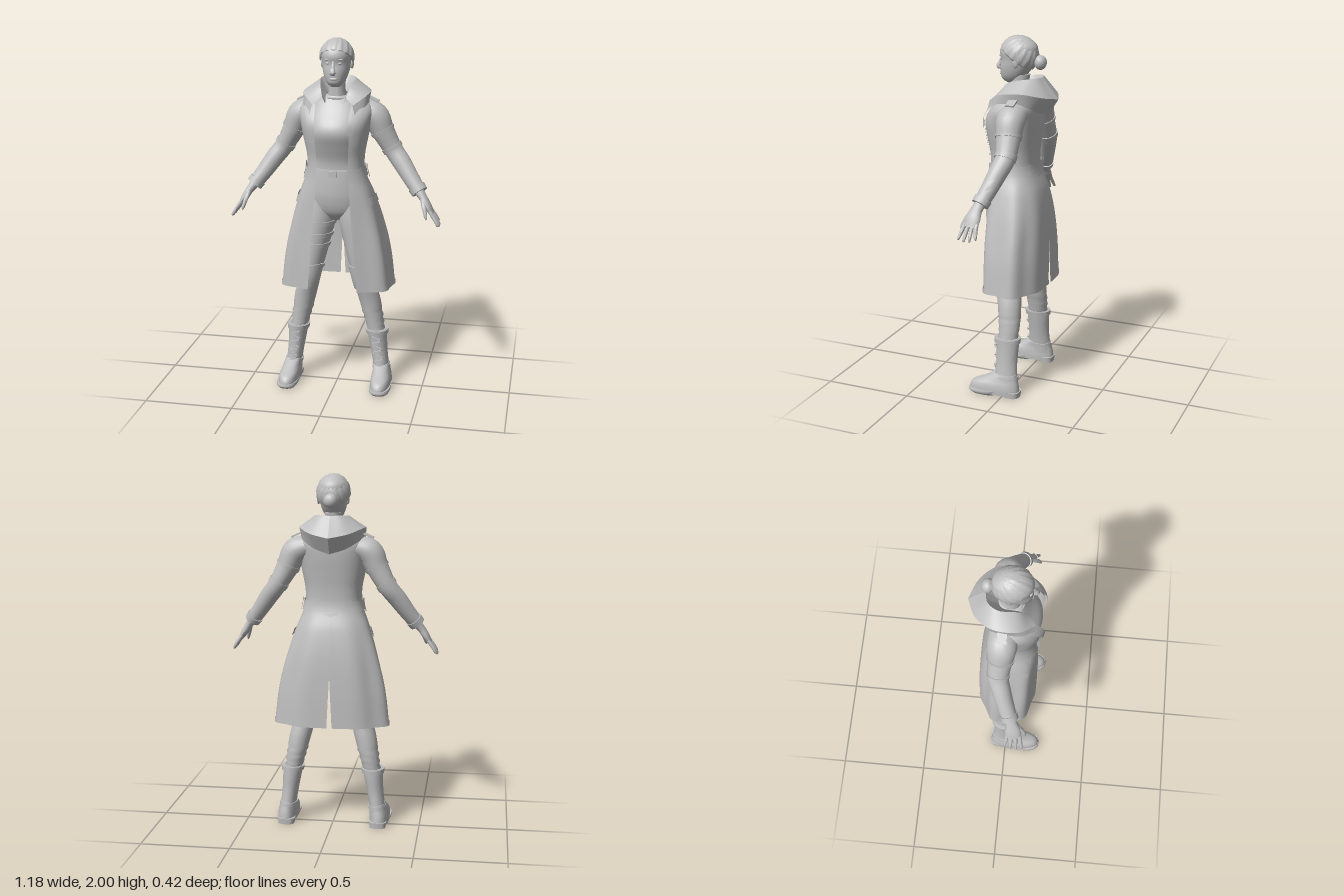
import * as THREE from 'three';
import { mergeVertices, toCreasedNormals } from 'three/addons/utils/BufferGeometryUtils.js';

const V = (x, y, z) => new THREE.Vector3(x, y, z);
const grey = new THREE.MeshStandardMaterial({ color: 0xbfbfbf, side: THREE.DoubleSide });
grey.name = 'plain grey';

// Grid surface from f(u, v)
function surface(nu, nv, f, crease = 0.8) {
  const pos = [], idx = [];
  for (let j = 0; j <= nv; j++) for (let i = 0; i <= nu; i++) pos.push(...f(i / nu, j / nv).toArray());
  for (let j = 0; j < nv; j++) for (let i = 0; i < nu; i++) {
    const a = j * (nu + 1) + i, b = a + nu + 1;
    idx.push(a, a + 1, b + 1, a, b + 1, b);
  }
  const g = new THREE.BufferGeometry();
  g.setAttribute('position', new THREE.Float32BufferAttribute(pos, 3));
  g.setIndex(idx);
  return toCreasedNormals(mergeVertices(g, 1e-5), crease);
}

// Smooth lookup in rows of [y, rx, zFront, zBack, cx]
function rowAt(rows, y) {
  let i = 0;
  while (i < rows.length - 2 && y > rows[i + 1][0]) i++;
  const h = rows[i + 1][0] - rows[i][0], t = (y - rows[i][0]) / h;
  const slope = (k, c) => {
    const a = rows[Math.max(k - 1, 0)], b = rows[Math.min(k + 1, rows.length - 1)];
    return ((b[c] || 0) - (a[c] || 0)) / (b[0] - a[0]);
  };
  return [0, 1, 2, 3, 4].map(c => {
    const p = rows[i][c] || 0, q = rows[i + 1][c] || 0, d = t * t * (3 - 2 * t);
    return p + (q - p) * d + h * (slope(i, c) * t * (1 - t) ** 2 - slope(i + 1, c) * t * t * (1 - t));
  });
}
const pw = (s, p) => Math.sign(s) * Math.abs(s) ** p;
function ringPoint(rows, y, a, p = 1, off = 0) {
  const [, rx, zf, zb, cx] = rowAt(rows, y);
  return V(cx + (rx + off) * pw(Math.sin(a), p), y, (zf + zb) / 2 + ((zf - zb) / 2 + off) * pw(Math.cos(a), p));
}
// Upright lofted body, or a band or panel on it
function loft(rows, o = {}) {
  const { y0 = rows[0][0], y1 = rows[rows.length - 1][0], p = 1, off = () => 0, nu = 32, nv = 24,
    a0 = () => 0, a1 = () => Math.PI * 2, cap = true } = o;
  return surface(nu, nv + (cap ? 2 : 0), (u, v) => {
    const k = cap ? THREE.MathUtils.clamp((v * (nv + 2) - 1) / nv, 0, 1) : v;
    const y = y0 + (y1 - y0) * k, a = a0(y) + (a1(y) - a0(y)) * u;
    if (cap && (v === 0 || v === 1)) {
      const r = rowAt(rows, y);
      return V(r[4], y, (r[2] + r[3]) / 2);
    }
    return ringPoint(rows, y, a, p, off(a, y));
  });
}
// Tapered limb through [x, y, z, rSide, rDepth]
function limb(pts, t0 = 0, t1 = 1, off = 0, nu = 16, nv = 20) {
  const path = new THREE.CatmullRomCurve3(pts.map(p => V(p[0], p[1], p[2])));
  const size = new THREE.CatmullRomCurve3(pts.map(p => V(p[3], p[4], 0)));
  return surface(nu, nv + 2, (u, v) => {
    const t = t0 + (t1 - t0) * THREE.MathUtils.clamp((v * (nv + 2) - 1) / nv, 0, 1);
    const c = path.getPoint(t), r = size.getPoint(t), k = v === 0 || v === 1 ? 0 : 1;
    const side = path.getTangent(t).cross(V(0, 0, 1)).normalize();
    const depth = side.clone().cross(path.getTangent(t));
    const a = u * Math.PI * 2;
    return c.addScaledVector(side, k * (r.x + off) * Math.cos(a)).addScaledVector(depth, -k * (r.y + off) * Math.sin(a));
  });
}
function mirrored(geo) {
  const g = (geo.index ? geo.toNonIndexed() : geo.clone()).scale(-1, 1, 1);
  const idx = [];
  for (let i = 0; i < g.attributes.position.count; i += 3) idx.push(i, i + 2, i + 1);
  return g.setIndex(idx);
}
const ball = (x, y, z, rx, ry, rz) => new THREE.SphereGeometry(1, 16, 12).scale(rx, ry, rz).translate(x, y, z);
const box = (x, y, z, w, h, d, rz = 0, ry = 0) => new THREE.BoxGeometry(w, h, d).rotateZ(rz).rotateY(ry).translate(x, y, z);

export function createModel() {
  const model = new THREE.Group();
  const add = (name, g) => { const m = new THREE.Mesh(g, grey); m.name = name; model.add(m); };
  const pair = (name, g) => { add('left' + name, g); add('right' + name, mirrored(g)); };

  // Head and face
  add('head', loft([[1.742, .025, .085, .02], [1.76, .043, .113, 0], [1.79, .06, .12, -.03], [1.83, .072, .122, -.06],
    [1.87, .078, .117, -.08], [1.91, .082, .124, -.088], [1.95, .075, .108, -.08], [1.985, .045, .07, -.04]], { p: .92 }));
  add('nose', limb([[0, 1.885, .113, .007, .008], [0, 1.85, .127, .01, .011], [0, 1.825, .137, .016, .013], [0, 1.815, .122, .011, .007]]));
  add('lips', ball(0, 1.79, .118, .023, .008, .008));
  pair('Eye', ball(.031, 1.873, .107, .014, .007, .007));
  pair('Brow', ball(.033, 1.893, .109, .02, .005, .009));
  pair('Ear', ball(.081, 1.862, .005, .01, .03, .018));
  add('neck', loft([[1.6, .07, .06, -.075], [1.68, .052, .062, -.05], [1.73, .046, .062, -.038], [1.79, .048, .065, -.045]]));

  // Combed-back hair with strand ridges, and a bun
  const tilt = .65;
  add('hair', surface(96, 18, (u, v) => {
    const th = v * 1.78, a = u * Math.PI * 2;
    const d = V(Math.sin(th) * Math.sin(a), Math.cos(th), Math.sin(th) * Math.cos(a)).applyAxisAngle(V(1, 0, 0), -tilt);
    const k = 1 + .018 * Math.sin(th) * Math.cos(a * 16) - (v === 1 ? .09 : 0);
    return V(d.x * .094 * k, 1.893 + d.y * .106 * k, .018 + d.z * .11 * k);
  }));
  add('bun', ball(0, 1.858, -.107, .038, .04, .034));

  // Top and trousers seat
  add('top', loft([[1.24, .145, .11, -.08], [1.33, .135, .115, -.075], [1.42, .145, .148, -.08], [1.49, .15, .174, -.085],
    [1.54, .15, .165, -.09], [1.61, .15, .115, -.09], [1.66, .12, .085, -.08], [1.69, .06, .07, -.06]], { p: .9 }));
  add('neckBand', new THREE.TorusGeometry(.066, .006, 8, 32).rotateX(1.45).translate(0, 1.672, .012));
  const hips = [[.99, .06, .06, -.08], [1.04, .15, .1, -.11], [1.12, .168, .122, -.12], [1.2, .158, .125, -.11], [1.29, .142, .12, -.085]];
  add('hips', loft(hips, { p: .9 }));
  add('trouserBelt', loft(hips, { y0: 1.25, y1: 1.285, off: () => .007, p: .9, nv: 2 }));
  add('buckle', box(0, 1.268, .131, .045, .032, .009));

  // Legs
  const leg = [[.32, .048, .045, -.062, .228], [.4, .054, .05, -.07, .212], [.52, .062, .066, -.068, .187], [.63, .061, .09, -.055, .158],
    [.7, .066, .098, -.06, .146], [.85, .081, .105, -.085, .122], [1.0, .093, .108, -.105, .1], [1.12, .08, .1, -.1, .088]];
  pair('Leg', loft(leg, { nv: 40, off: (a, y) => y < .45 ? .004 * Math.sin(y * 150 + Math.sin(a)) : 0 }));
  pair('KneePatch', loft(leg, { y0: .59, y1: .73, a0: () => -1.1, a1: () => 1.1, off: () => .008, nv: 8 }));
  [.7, .83, .89, .96].forEach((y, i) =>
    add('rightThighStrap' + (i + 1), mirrored(loft(leg, { y0: y, y1: y + .022, off: () => .007, nv: 2 }))));
  add('thighPouch', box(-.2, .92, .03, .022, .1, .07, -.12));

  // Boots
  const shaft = [[.06, .048, .06, -.08, .263], [.12, .045, .058, -.074, .257], [.2, .047, .052, -.07, .246], [.28, .053, .055, -.074, .236], [.34, .058, .062, -.076, .23]];
  pair('BootShaft', loft(shaft));
  pair('BootCuff', loft(shaft, { y0: .312, y1: .338, off: () => .008, nv: 2 }));
  pair('BootStrap', loft(shaft, { y0: .1, y1: .12, off: () => .006, nv: 2 }));
  const foot = [[.012, .056, .205, -.092, .268], [.04, .057, .205, -.09, .268], [.068, .054, .185, -.086, .267],
    [.095, .048, .125, -.08, .264], [.13, .044, .06, -.074, .258]];
  pair('BootFoot', loft(foot, { p: .85 }));
  pair('Sole', loft([[0, .05, .195, .035, .27], [.014, .06, .21, .02, .27], [.03, .06, .208, -.02, .27]], { p: .8, nv: 4 }));
  pair('Heel', loft([[0, .046, -.005, -.093, .265], [.032, .05, .01, -.096, .265]], { p: .7, nv: 2 }));
  for (let i = 0; i < 7; i++) {
    const y = .13 + i * .028, p = ringPoint(shaft, y, 0);
    pair('Lace' + (i + 1), box(p.x, y, p.z + .001, .05, .007, .012, i % 2 ? .35 : -.35));
  }

  // Long open coat: two halves with a rear vent
  const coat = [[.605, .322, .17, -.168], [.8, .298, .172, -.166], [1.0, .252, .172, -.155], [1.15, .205, .172, -.13], [1.27, .161, .165, -.09],
    [1.36, .158, .165, -.088], [1.46, .176, .182, -.1], [1.55, .193, .185, -.112], [1.62, .2, .145, -.115], [1.67, .16, .1, -.105], [1.71, .08, .07, -.08]];
  const P = .8, clamp = THREE.MathUtils.clamp;
  const edge = y => y < 1.3 ? .085 + (1.3 - y) * .08 : .085 + (y - 1.3) * .05;
  const angleOf = (x, y) => Math.asin(Math.min(x / rowAt(coat, y)[1], .97) ** (1 / P));
  const front = y => angleOf(edge(y), y);
  const back = y => Math.PI - angleOf(clamp((.9 - y) * .05, 0, .02), y);
  const folds = (a, y) => .012 * clamp((1.22 - y) * 3, 0, 1) * Math.sin(a * 7 + 1) * Math.sin(a);
  const panel = (name, y0, y1, off, a0 = front, a1 = back, nv = 3) =>
    pair(name, loft(coat, { y0, y1, p: P, a0, a1, nv, cap: false, off: (a, y) => folds(a, y) + off }));
  panel('CoatHalf', .605, 1.71, 0, front, back, 60);
  panel('CoatBelt', 1.25, 1.305, .009);
  panel('Placket', .61, 1.6, .005, front, y => angleOf(edge(y) + .022, y), 40);
  panel('Lapel', 1.5, 1.65, .014, y => angleOf(edge(y) - .012, y), y => angleOf(edge(y) + .01 + (y - 1.5) * .28, y), 10);
  panel('PocketFlap', 1.1, 1.14, .008, () => 1.0, () => 1.75);
  panel('HemBand', .605, .63, .003);
  [.95, 1.6, 2.5].forEach((a, i) => panel('BeltLoop' + (i + 1), 1.24, 1.315, .016, () => a, () => a + .12));
  pair('Epaulette', box(.185, 1.672, -.02, .09, .009, .05, -.42));

  // Hood lying behind the neck: inner, rim, outer and lower edges from front to back
  const hood = [
    [[.05, 1.65, .09], [.065, 1.69, .1], [.11, 1.655, .145], [.125, 1.6, .155]],
    [[.055, 1.69, .05], [.085, 1.75, .05], [.175, 1.7, .06], [.175, 1.65, .07]],
    [[.05, 1.7, -.03], [.095, 1.775, -.05], [.175, 1.71, -.07], [.155, 1.64, -.08]],
    [[.03, 1.7, -.05], [.058, 1.78, -.105], [.105, 1.685, -.165], [.085, 1.6, -.125]],
    [[0, 1.7, -.055], [0, 1.778, -.12], [0, 1.665, -.212], [0, 1.575, -.155]]];
  const lines = [0, 1, 2, 3].map(k => new THREE.CatmullRomCurve3(hood.map(r => V(...r[k]))));
  pair('Hood', surface(20, 12, (u, v) => {
    const s = Math.min(Math.floor((1 - v) * 3), 2), t = (1 - v) * 3 - s;
    return lines[s].getPoint(u).lerp(lines[s + 1].getPoint(u), t);
  }, .6));

  // Sleeves with rolled bands and cuffs
  const sleeve = [[.14, 1.605, -.02, .06, .075], [.205, 1.575, -.02, .074, .08], [.25, 1.49, -.025, .063, .068], [.31, 1.385, -.03, .052, .055],
    [.36, 1.32, -.01, .051, .051], [.42, 1.235, .02, .045, .046], [.468, 1.172, .045, .04, .042]];
  pair('Sleeve', limb(sleeve, 0, 1, 0, 20, 30));
  pair('ElbowBand', limb(sleeve, .46, .5, .005, 20, 2));
  pair('UpperArmStrap', limb(sleeve, .31, .34, .005, 20, 2));
  pair('Cuff', limb(sleeve, .93, 1, .006, 20, 3));

  // Hands
  pair('Palm', limb([[.46, 1.182, .043, .028, .03], [.49, 1.143, .057, .022, .034], [.517, 1.1, .066, .02, .044], [.54, 1.062, .07, .013, .04]]));
  for (let i = 0; i < 4; i++) {
    const z = .037 + i * .022, tip = .025 + i * .032, l = [.84, .98, 1, .92][i];
    pair('Finger' + (i + 1), limb([[.53, 1.08, z, .011, .011], [.53 + .032 * l, 1.08 - .045 * l, (z + tip) / 2, .01, .01],
      [.53 + .052 * l, 1.08 - .08 * l, tip, .007, .007], [.53 + .054 * l, 1.08 - .085 * l, tip, .003, .003]], 0, 1, 0, 10, 8));
  }
  pair('Thumb', limb([[.487, 1.14, .075, .014, .016], [.502, 1.095, .112, .012, .012], [.513, 1.055, .13, .009, .009], [.516, 1.04, .134, .003, .003]], 0, 1, 0, 10, 8));

  return model;
}
